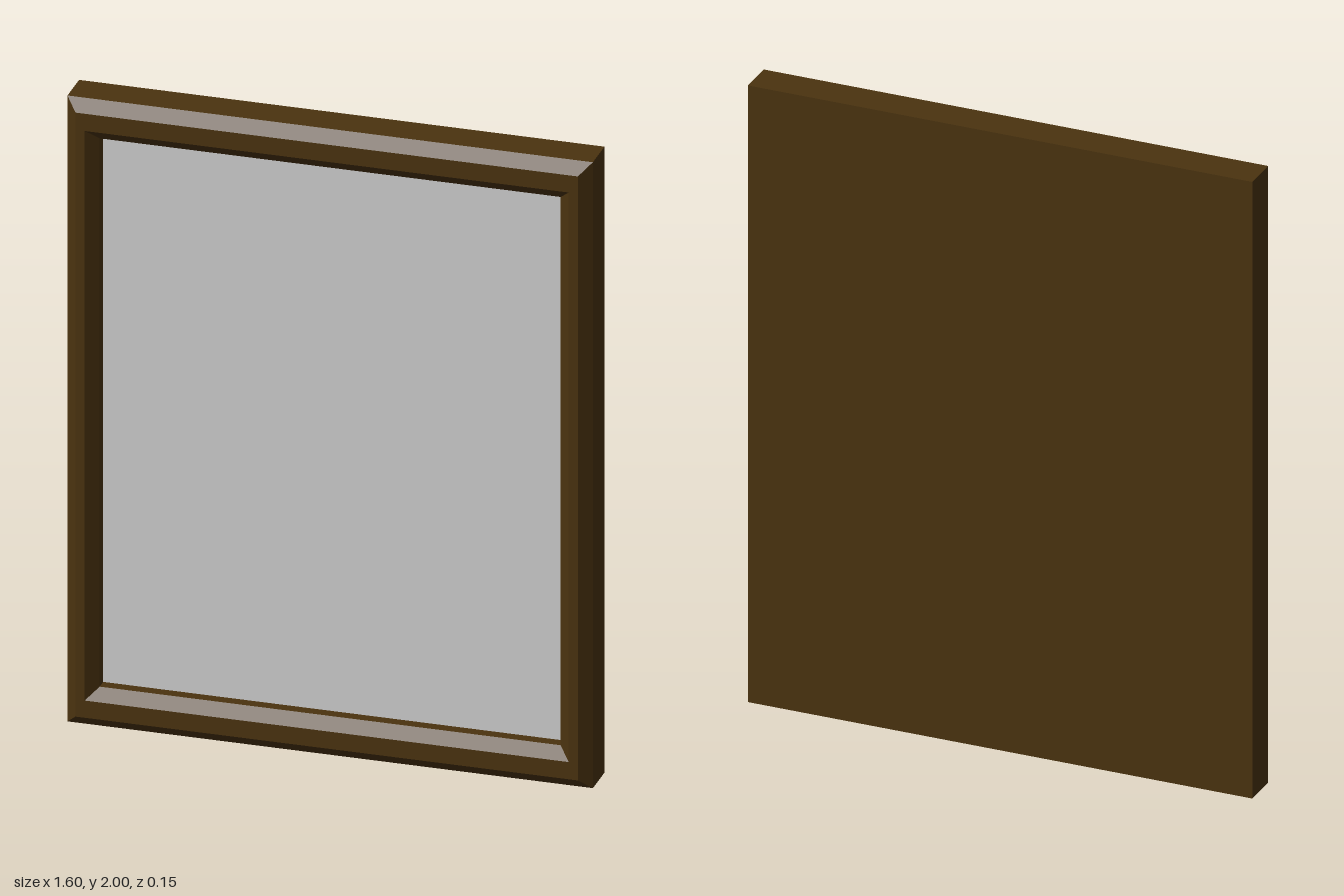
import * as THREE from 'three';

// Mitred rectangular moulding: each ring is [half width, half height, z], swept from back to front to inside.
function mouldingGeometry(rings) {
  const signs = [[1, 1], [-1, 1], [-1, -1], [1, -1]];
  const corner = ([w, h, z], j) => [signs[j % 4][0] * w, signs[j % 4][1] * h, z];
  const positions = [];
  for (let i = 0; i < rings.length - 1; i++) {
    for (let j = 0; j < 4; j++) {
      const a = corner(rings[i], j), b = corner(rings[i], j + 1);
      const c = corner(rings[i + 1], j + 1), d = corner(rings[i + 1], j);
      positions.push(...a, ...b, ...c, ...a, ...c, ...d);
    }
  }
  const geometry = new THREE.BufferGeometry();
  geometry.setAttribute('position', new THREE.Float32BufferAttribute(positions, 3));
  geometry.computeVertexNormals(); // unshared corners keep every edge sharp
  return geometry;
}

export function createModel() {
  const wood = new THREE.MeshStandardMaterial({ color: 0x4b330f });
  wood.name = 'darkWood';
  const silver = new THREE.MeshStandardMaterial({ color: 0xd0d0d0 });
  silver.name = 'paleGrey';

  const model = new THREE.Group();
  model.name = 'framedPanel';
  const add = (name, geometry, material, z = 0) => {
    const mesh = new THREE.Mesh(geometry, material);
    mesh.name = name;
    mesh.position.set(0, 1, z);
    model.add(mesh);
    return mesh;
  };

  // Frame: outer wall, outer bevel, front face, inner bevel, recess wall
  add('frame', mouldingGeometry([
    [0.8, 1, -0.075],
    [0.8, 1, 0.04],
    [0.765, 0.965, 0.075],
    [0.737, 0.91, 0.075],
    [0.702, 0.876, 0.04],
    [0.702, 0.876, 0.005],
  ]), wood);

  // Flat back board
  add('backBoard', new THREE.PlaneGeometry(1.6, 2), wood, -0.075).rotation.y = Math.PI;

  // Recessed panel
  add('panel', new THREE.PlaneGeometry(1.404, 1.752), silver, 0.005);

  return model;
}
